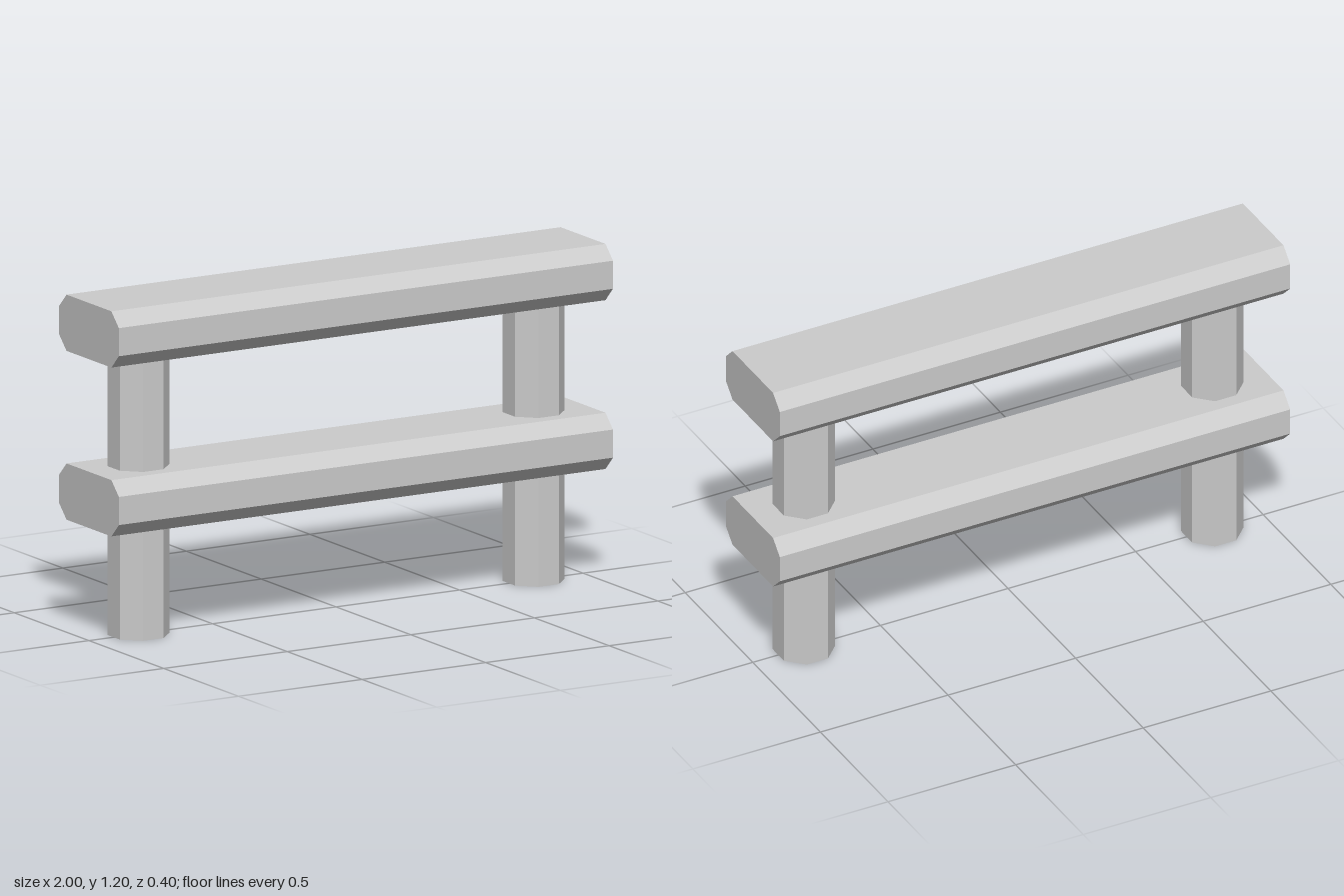
import * as THREE from 'three';

const material = new THREE.MeshStandardMaterial({ color: 0xcccccc, flatShading: true });

// Chamfered beam running along x, centred on the origin
function beamGeometry(length, height, depth, chamfer) {
  const h = height / 2, d = depth / 2, c = chamfer;
  const section = new THREE.Shape([
    [d - c, -h], [d, -h + c], [d, h - c], [d - c, h],
    [-d + c, h], [-d, h - c], [-d, -h + c], [-d + c, -h],
  ].map(([x, y]) => new THREE.Vector2(x, y)));
  return new THREE.ExtrudeGeometry(section, { depth: length, bevelEnabled: false })
    .translate(0, 0, -length / 2)
    .rotateY(Math.PI / 2);
}

export function createModel() {
  const model = new THREE.Group();
  const add = (name, geometry, x, y) => {
    const mesh = new THREE.Mesh(geometry, material);
    mesh.name = name;
    mesh.position.set(x, y, 0);
    model.add(mesh);
  };

  // Two horizontal rails
  const rail = beamGeometry(2, 0.2, 0.4, 0.05);
  add('lowerRail', rail, 0, 0.5);
  add('upperRail', rail, 0, 1.1);

  // Octagonal posts, flat sides facing the axes
  const postRadius = 0.1 / Math.cos(Math.PI / 8);
  const post = new THREE.CylinderGeometry(postRadius, postRadius, 1, 8).rotateY(Math.PI / 8);
  add('leftPost', post, 0.8, 0.5);
  add('rightPost', post, -0.8, 0.5);

  return model;
}
